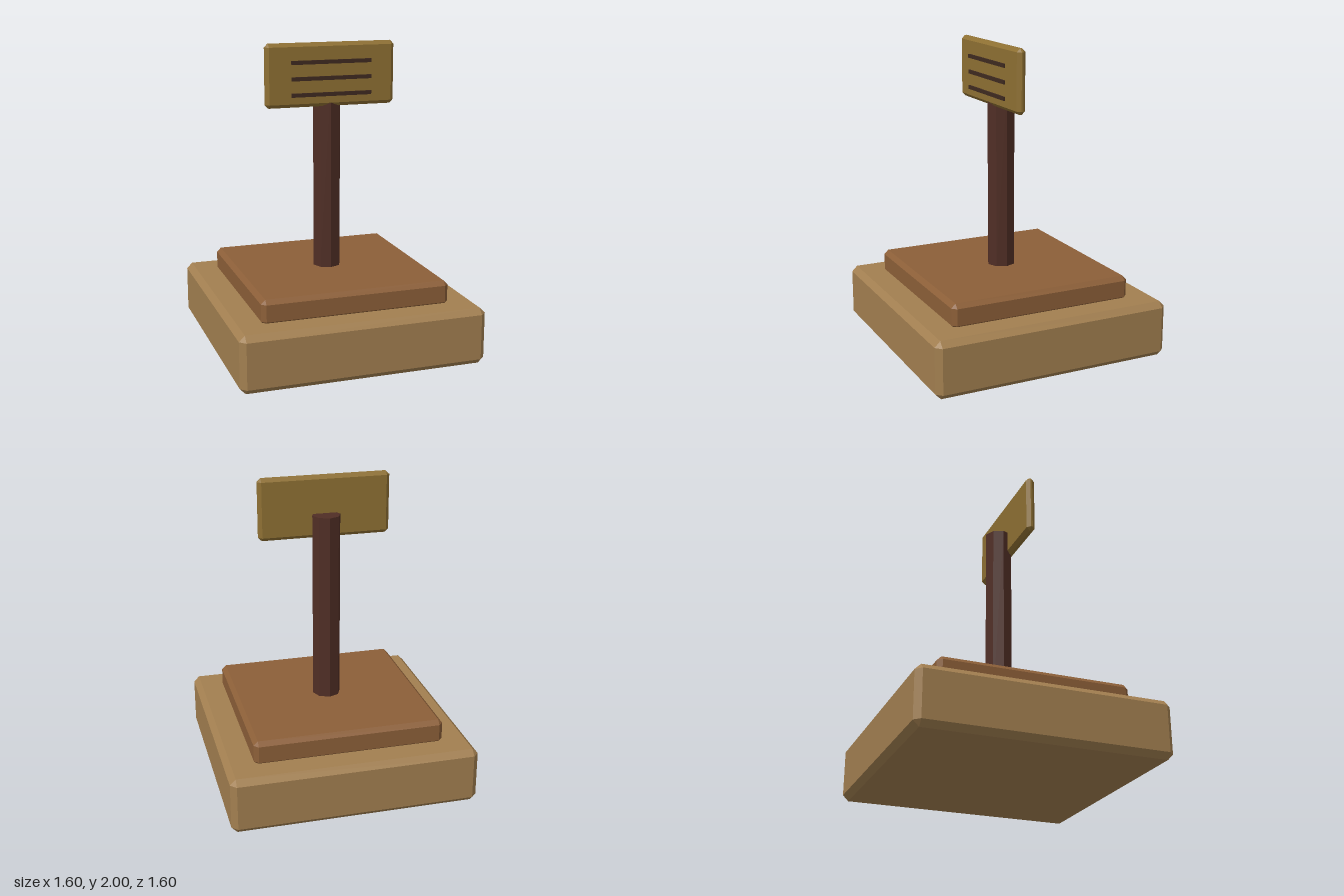
import * as THREE from 'three';
import { ConvexGeometry } from 'three/addons/geometries/ConvexGeometry.js';

const paint = (color) => new THREE.MeshStandardMaterial({ color, flatShading: true });

// Box with every edge cut by a flat chamfer c
function chamferBox(w, h, d, c) {
  const points = [];
  for (const sx of [-1, 1]) for (const sy of [-1, 1]) for (const sz of [-1, 1]) {
    for (let axis = 0; axis < 3; axis++) {
      const inset = [c, c, c];
      inset[axis] = 0;
      points.push(new THREE.Vector3(
        sx * (w / 2 - inset[0]), sy * (h / 2 - inset[1]), sz * (d / 2 - inset[2])));
    }
  }
  return new ConvexGeometry(points);
}

export function createModel() {
  const model = new THREE.Group();
  model.name = 'signpost';

  const add = (name, geometry, material, x, y, z) => {
    const mesh = new THREE.Mesh(geometry, material);
    mesh.name = name;
    mesh.position.set(x, y, z);
    model.add(mesh);
  };

  const sand = paint(0xa27f50);
  const earth = paint(0x8c5f38);
  const darkWood = paint(0x502e25);
  const board = paint(0x8e7033);
  const ink = paint(0x3f2a20);

  // Stepped plinth
  add('base', chamferBox(1.6, 0.37, 1.6, 0.037), sand, 0, 0.185, 0);
  add('upperStep', chamferBox(1.234, 0.165, 1.234, 0.028), earth, 0, 0.4325, 0);

  // Eight-sided post
  add('post', new THREE.CylinderGeometry(0.092, 0.092, 1.264, 8), darkWood, 0, 1.122, 0);

  // Sign board with three engraved-style strips just in front of it
  add('signBoard', chamferBox(0.864, 0.408, 0.058, 0.023), board, 0, 1.796, 0.063);
  const strip = new THREE.BoxGeometry(0.534, 0.025, 0.01);
  for (let i = 0; i < 3; i++) {
    add(`signLine${i + 1}`, strip, ink, 0, 1.879 - i * 0.103, 0.105);
  }

  return model;
}
